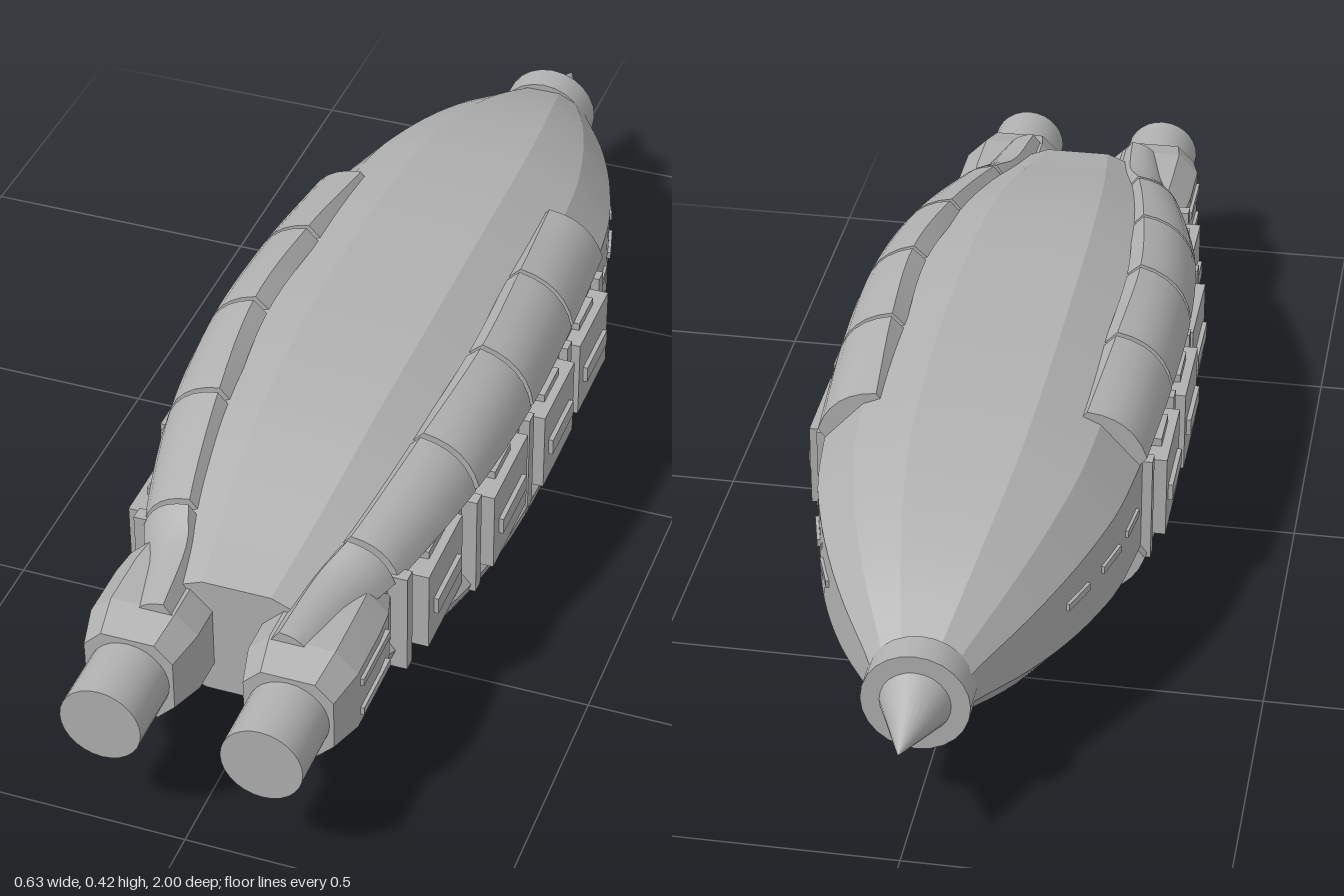
import * as THREE from 'three';
import { toCreasedNormals } from 'three/addons/utils/BufferGeometryUtils.js';

const hullGrey = new THREE.MeshStandardMaterial({ color: 0xb0b0b0 });
hullGrey.name = 'hullGrey';

// Solid skin over closed cross-sections, with end caps; always wound outwards
function loft(rings, crease = 0.3) {
  const n = rings[0].length, pts = rings.flat(), index = [];
  for (let r = 0; r < rings.length - 1; r++) {
    for (let i = 0; i < n; i++) {
      const a = r * n + i, b = r * n + (i + 1) % n;
      index.push(a, b, b + n, a, b + n, a + n);
    }
  }
  [0, rings.length - 1].forEach((r, end) => {
    // ladder caps suit both convex rings and thin curved plates
    for (let i = 0; i < n / 2 - 1; i++) {
      const a = r * n + i, b = a + 1, c = r * n + n - 2 - i, d = r * n + n - 1 - i;
      const quad = end ? [a, b, c, a, c, d] : [a, c, b, a, d, c];
      index.push(...quad);
    }
  });
  let volume = 0;
  for (let i = 0; i < index.length; i += 3) {
    volume += pts[index[i]].dot(pts[index[i + 1]].clone().cross(pts[index[i + 2]]));
  }
  if (volume < 0) index.reverse();
  const g = new THREE.BufferGeometry().setFromPoints(pts);
  g.setIndex(index);
  return toCreasedNormals(g, crease);
}

// Smooth interpolation through rows of numbers whose first entry is z
function sample(rows, z) {
  let i = 0;
  while (i < rows.length - 2 && z > rows[i + 1][0]) i++;
  const p = rows[Math.max(i - 1, 0)], a = rows[i], b = rows[i + 1], q = rows[Math.min(i + 2, rows.length - 1)];
  const d = b[0] - a[0], t = (z - a[0]) / d;
  return a.map((v, k) => {
    const m0 = (b[k] - p[k]) / (b[0] - p[0]) * d, m1 = (q[k] - v) / (q[0] - a[0]) * d;
    return v * (2 * t ** 3 - 3 * t * t + 1) + m0 * (t ** 3 - 2 * t * t + t)
      + b[k] * (3 * t * t - 2 * t ** 3) + m1 * (t ** 3 - t * t);
  });
}

// z, half width, half height
const HULL = [
  [-0.83, 0.075, 0.06], [-0.8, 0.09, 0.073], [-0.7, 0.145, 0.115], [-0.6, 0.19, 0.147],
  [-0.5, 0.225, 0.17], [-0.4, 0.25, 0.187], [-0.2, 0.27, 0.204], [0, 0.275, 0.209],
  [0.2, 0.27, 0.206], [0.4, 0.25, 0.19], [0.55, 0.22, 0.16], [0.65, 0.19, 0.135], [0.76, 0.155, 0.11],
];
// z, upper edge x and y, lower edge x and y
const ARMOUR = [
  [-0.285, 0.175, 0.385, 0.275, 0.307], [-0.065, 0.192, 0.408, 0.288, 0.315],
  [0.165, 0.2, 0.413, 0.29, 0.313], [0.39, 0.175, 0.39, 0.27, 0.305],
  [0.62, 0.135, 0.345, 0.215, 0.28], [0.69, 0.11, 0.325, 0.185, 0.27], [0.83, 0.095, 0.31, 0.15, 0.268],
];

function hullRing(z) {
  const [, w, h] = sample(HULL, z), cy = 0.2 + 0.009 * h / 0.209;
  const q = [[0.37, 1], [0.75, 0.78], [1, 0.42]];
  const right = [...q, ...q.map(([x, y]) => [x, -y]).reverse()];
  const all = [...right, ...right.map(([x, y]) => [-x, y]).reverse()];
  return all.map(([x, y]) => new THREE.Vector3(x * w, cy + y * h, z));
}

// Curved plate section: bulging outer arc and a parallel inner arc
function armourRing(z, sx, sy) {
  const [, ax, ay, bx, by] = sample(ARMOUR, z);
  const len = Math.hypot(bx - ax, by - ay), nx = (ay - by) / len, ny = (bx - ax) / len;
  const outer = [], inner = [];
  for (let i = 0; i <= 6; i++) {
    const t = i / 6, bulge = 0.17 * len * 4 * t * (1 - t);
    const point = o => {
      const y = ay + (by - ay) * t + ny * (bulge - o);
      return new THREE.Vector3(sx * (ax + (bx - ax) * t + nx * (bulge - o)), sy > 0 ? y : 0.418 - y, z);
    };
    outer.push(point(0));
    inner.unshift(point(0.032));
  }
  return [...outer, ...inner];
}

const range = (a, b, n) => Array.from({ length: n + 1 }, (_, i) => a + (b - a) * i / n);

export function createModel() {
  const model = new THREE.Group();
  model.name = 'spaceship';
  const add = (name, geometry, x = 0, y = 0, z = 0) => {
    const m = new THREE.Mesh(geometry, hullGrey);
    m.name = name;
    m.position.set(x, y, z);
    model.add(m);
    return m;
  };
  const box = (name, w, h, d, x, y, z) => add(name, new THREE.BoxGeometry(w, h, d), x, y, z);

  // Hull, nose collar and spike
  add('hull', loft(range(-0.83, 0.76, 48).map(hullRing)));
  add('noseCollar', new THREE.CylinderGeometry(0.086, 0.086, 0.055, 24).rotateX(Math.PI / 2), 0, 0.198, -0.8375);
  add('noseSpike', new THREE.ConeGeometry(0.056, 0.135, 24).rotateX(-Math.PI / 2), 0, 0.198, -0.9325);

  // Four rows of segmented armour
  const cuts = [-0.285, -0.065, 0.165, 0.39, 0.62, 0.83];
  for (const sx of [1, -1]) for (const sy of [1, -1]) {
    for (let i = 0; i < cuts.length - 1; i++) {
      const zs = range(cuts[i] + (i ? 0.005 : 0), cuts[i + 1] - 0.005, 8);
      add('armourPlate', loft(zs.map(z => armourRing(z, sx, sy)), 0.5));
    }
  }

  for (const s of [1, -1]) {
    // Ribs between the side panels: z, outer x
    for (const [z, x] of [[-0.255, 0.282], [-0.045, 0.29], [0.165, 0.29], [0.395, 0.275], [0.61, 0.232]]) {
      box('sideRib', 0.1, 0.187, 0.024, s * (x - 0.05), 0.195, z);
    }
    // Side panels with a grip strip and a top latch: centre z, length, outer x
    for (const [z, d, x] of [[-0.15, 0.165, 0.302], [0.06, 0.165, 0.306], [0.28, 0.175, 0.292], [0.505, 0.165, 0.256]]) {
      box('sidePanel', 0.1, 0.145, d, s * (x - 0.05), 0.2, z);
      box('gripStrip', 0.008, 0.03, d * 0.7, s * (x + 0.004), 0.195, z);
      box('panelLatch', 0.03, 0.014, 0.08, s * (x - 0.03), 0.28, z);
    }
    // Slots along the nose
    for (const z of [-0.34, -0.45, -0.565]) {
      const w = sample(HULL, z)[1], slope = (sample(HULL, z + 0.03)[1] - sample(HULL, z - 0.03)[1]) / 0.06;
      box('noseSlot', 0.008, 0.013, 0.07, s * (w + 0.001), 0.215, z).rotation.y = s * Math.atan(slope);
    }

    // Engine: chamfered housing, nozzle and vents
    const cx = s * 0.132, cy = 0.204;
    const corners = [[0.6, 1], [1, 0.6], [1, -0.6], [0.6, -1], [-0.6, -1], [-1, -0.6], [-1, 0.6], [-0.6, 1]];
    const stations = [[0.6, 0.065], [0.67, 0.086], [0.72, 0.09], [0.82, 0.09], [0.885, 0.074]];
    add('engineHousing', loft(stations.map(([z, r]) =>
      corners.map(([x, y]) => new THREE.Vector3(cx + x * r, cy + y * r, z))), 0.1));
    add('engineNozzle', new THREE.CylinderGeometry(0.067, 0.067, 0.15, 28).rotateX(Math.PI / 2), cx, 0.202, 0.925);
    for (const dy of [-0.03, 0.03]) {
      box('engineVent', 0.01, 0.014, 0.12, cx + s * 0.091, cy + dy, 0.75);
    }
  }
  return model;
}
